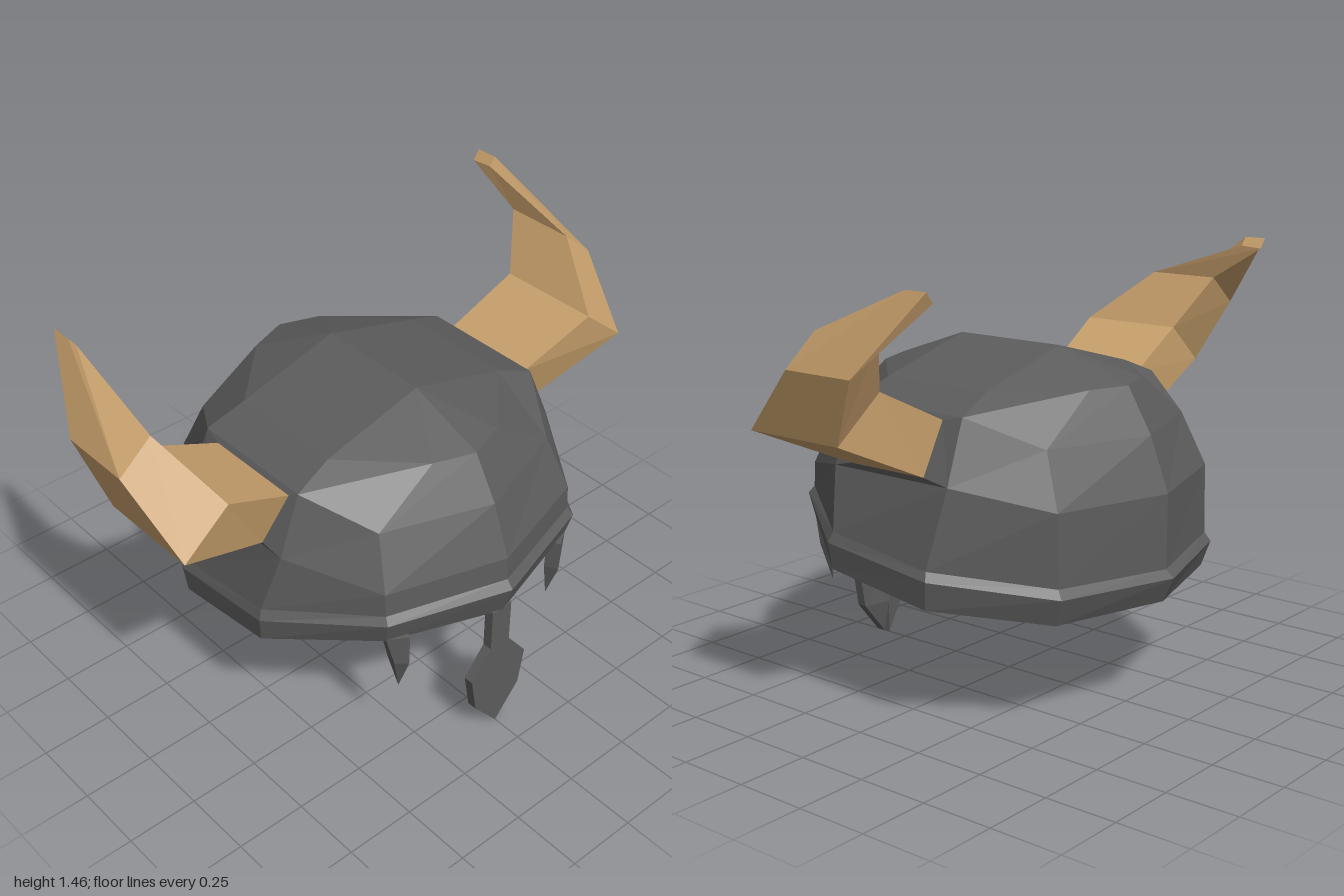
import * as THREE from 'three';

const steel = new THREE.MeshStandardMaterial({ color: 0x5c5c5c, side: THREE.DoubleSide });
steel.name = 'dark steel';
const bone = new THREE.MeshStandardMaterial({ color: 0xc8a06c });
bone.name = 'tan horn';

// Faceted skin over rings of [x, y, z]; rings run counterclockwise seen from the far end
function loft(name, rings, material, capStart = true, capEnd = true) {
  const pos = [];
  const v = (p) => new THREE.Vector3(...p);
  const tri = (a, b, c) => {
    const area = v(b).sub(v(a)).cross(v(c).sub(v(a))).length();
    if (area > 1e-7) pos.push(...a, ...b, ...c);
  };
  const n = rings[0].length;
  for (let r = 0; r < rings.length - 1; r++) {
    const a = rings[r], b = rings[r + 1];
    for (let i = 0; i < n; i++) {
      const j = (i + 1) % n;
      tri(a[i], a[j], b[j]);
      tri(a[i], b[j], b[i]);
    }
  }
  const s = rings[0], e = rings[rings.length - 1];
  for (let i = 1; i < n - 1; i++) {
    if (capStart) tri(s[0], s[i + 1], s[i]);
    if (capEnd) tri(e[0], e[i], e[i + 1]);
  }
  const geo = new THREE.BufferGeometry();
  geo.setAttribute('position', new THREE.Float32BufferAttribute(pos, 3));
  geo.computeVertexNormals();
  const mesh = new THREE.Mesh(geo, material);
  mesh.name = name;
  return mesh;
}

const flipX = ([x, y, z]) => [-x, y, z];
const flipZ = ([x, y, z]) => [x, y, -z];
const mirrorRings = (rings) => rings.map((r) => r.map(flipX).reverse());

// Ten-sided ring from its six points on the left half, front to back
const fullRing = (half) => [...half, ...half.slice(1, 5).reverse().map(flipX)];
// The same, from three front points repeated at the back
const evenRing = (f) => fullRing([...f, ...[...f].reverse().map(flipZ)]);

// Corners of the side panel that carries the horn
const panelLow = [0.592, 0.81, 0.24];
const panelHigh = [0.508, 1.015, 0.23];

// Thin open shell: flared rim, then the dome
function bowl() {
  const rim = [
    fullRing([[0, 0.51, 0.64], [0.41, 0.55, 0.53], [0.655, 0.48, 0.2],
      [0.655, 0.425, -0.2], [0.41, 0.38, -0.52], [0, 0.38, -0.64]]),
    fullRing([[0, 0.625, 0.68], [0.42, 0.63, 0.55], [0.665, 0.57, 0.21],
      [0.665, 0.52, -0.21], [0.42, 0.47, -0.55], [0, 0.465, -0.68]]),
    fullRing([[0, 0.655, 0.655], [0.41, 0.655, 0.53], [0.65, 0.605, 0.2],
      [0.65, 0.55, -0.2], [0.41, 0.5, -0.53], [0, 0.49, -0.65]]),
  ];
  const dome = [
    evenRing([[0, 0.74, 0.65], [0.41, 0.74, 0.525], panelLow]),
    evenRing([[0, 0.92, 0.58], [0.37, 0.92, 0.45], panelHigh]),
    evenRing([[0, 1.07, 0.49], [0.14, 1.07, 0.44], [0.37, 1.07, 0.21]]),
    evenRing([[0, 1.17, 0.21], [0, 1.17, 0.21], [0, 1.17, 0.21]]), // ridge
  ];
  return loft('helmetBowl', [...rim, ...dome], steel, false, false);
}

// Flat in front, with a shallow keel behind
function noseGuard() {
  // [half width, height], bottom to top
  const steps = [[0, 0], [0.1, 0.12], [0.123, 0.255], [0.042, 0.36], [0.042, 0.52]];
  const rings = steps.map(([w, y]) => [[w, y, 0.64], [w, y, 0.605], [0, y, 0.58],
    [-w, y, 0.605], [-w, y, 0.64]]);
  return loft('noseGuard', rings, steel);
}

export function createModel() {
  const model = new THREE.Group();
  model.name = 'hornedHelmet';
  model.add(bowl(), noseGuard());

  // Horn: four-sided sections from root to tip
  const horn = [
    [[0.6, 0.83, 0.16], [0.6, 0.83, -0.15], [0.52, 1.0, -0.16], [0.52, 1.0, 0.2]],
    [[0.945, 0.985, 0.24], [0.945, 0.985, -0.13], [0.775, 1.125, -0.14], [0.775, 1.125, 0.24]],
    [[1.0, 1.205, 0.02], [1.0, 1.205, -0.24], [0.88, 1.305, -0.24], [0.88, 1.305, 0.02]],
    [[0.895, 1.46, -0.36], [0.895, 1.46, -0.44], [0.87, 1.425, -0.44], [0.872, 1.43, -0.36]],
  ];
  // Socket: joins the side panel to the horn root
  const socket = [[panelLow, flipZ(panelLow), flipZ(panelHigh), panelHigh], horn[0]];
  // Cheek spike: tip to brow
  const tip = [0.345, 0.305, 0.52];
  const spike = [
    [tip, tip, tip, tip],
    [[0.345, 0.44, 0.57], [0.382, 0.44, 0.54], [0.375, 0.44, 0.5], [0.322, 0.44, 0.525]],
    [[0.345, 0.555, 0.572], [0.41, 0.555, 0.53], [0.395, 0.555, 0.485], [0.32, 0.555, 0.53]],
  ];
  model.add(
    loft('leftHorn', horn, bone, false),
    loft('rightHorn', mirrorRings(horn), bone, false),
    loft('leftHornSocket', socket, steel, false, false),
    loft('rightHornSocket', mirrorRings(socket), steel, false, false),
    loft('leftCheekSpike', spike, steel),
    loft('rightCheekSpike', mirrorRings(spike), steel),
  );
  return model;
}
